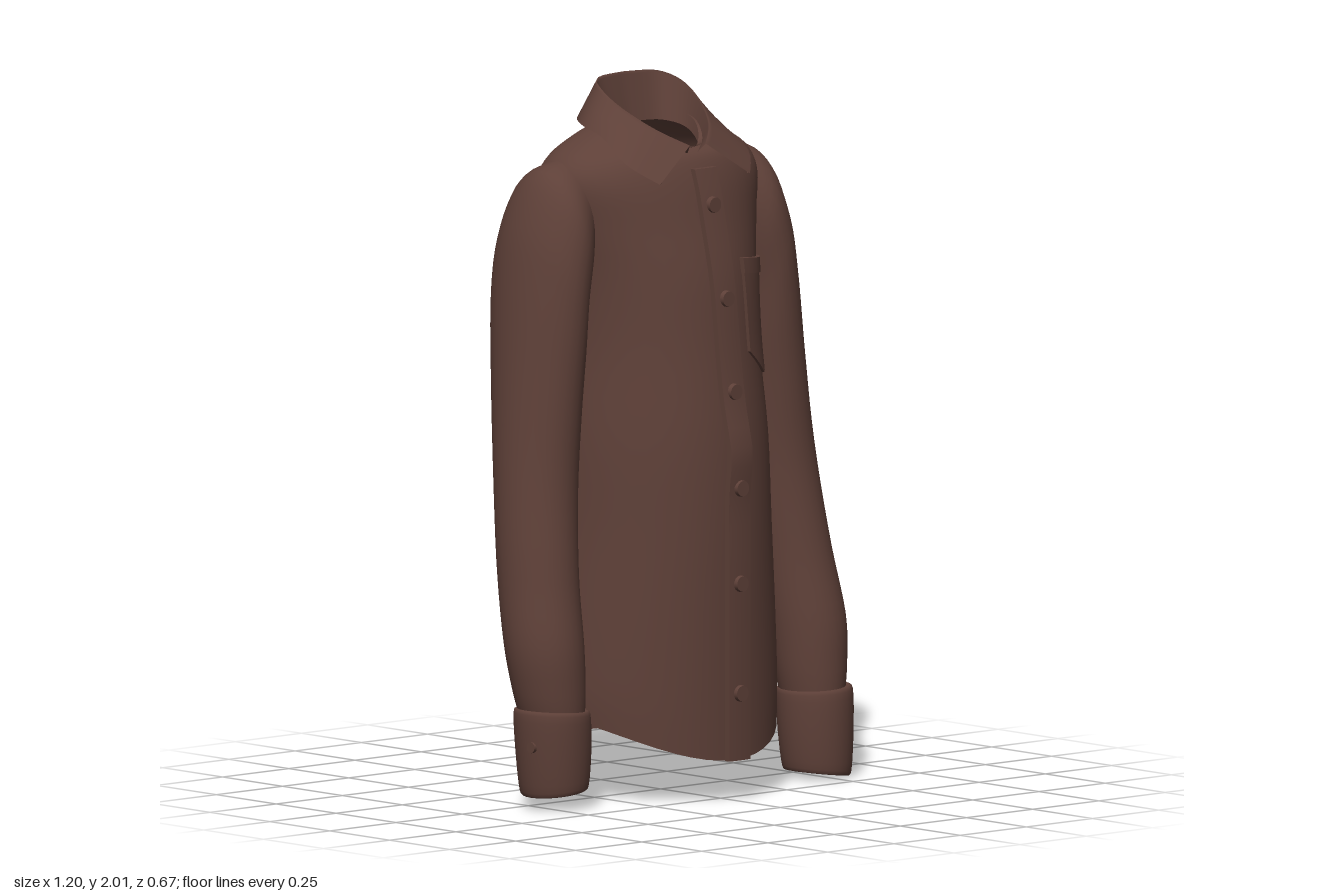
import * as THREE from 'three';

const fabric = new THREE.MeshStandardMaterial({ color: 0x5e4038, side: THREE.DoubleSide });
fabric.name = 'brown fabric';

// Smooth sample of a table of rows at t in 0..1
function sample(rows, t) {
  const n = rows.length - 1, f = Math.min(Math.max(t, 0), 1) * n;
  const i = Math.min(Math.floor(f), n - 1), u = f - i;
  const a = rows[Math.max(i - 1, 0)], b = rows[i], c = rows[i + 1], d = rows[Math.min(i + 2, n)];
  return b.map((_, k) => b[k] + 0.5 * u * (c[k] - a[k] + u * (2 * a[k] - 5 * b[k] + 4 * c[k] - d[k]
    + u * (3 * (b[k] - c[k]) + d[k] - a[k]))));
}

// Skin a list of cross-sections, each a list of [x, y, z]
function loft(name, sections, closed) {
  const m = sections[0].length, index = [];
  for (let i = 0; i < sections.length - 1; i++) {
    for (let j = 0; j < (closed ? m : m - 1); j++) {
      const k = (j + 1) % m, a = i * m + j, b = i * m + k, c = a + m, d = b + m;
      index.push(a, c, b, b, c, d);
    }
  }
  const g = new THREE.BufferGeometry();
  g.setAttribute('position', new THREE.Float32BufferAttribute(sections.flat(2), 3));
  g.setIndex(index);
  g.computeVertexNormals();
  return named(name, g);
}

function named(name, geometry) {
  const mesh = new THREE.Mesh(geometry, fabric);
  mesh.name = name;
  return mesh;
}

// Body rows: y, half width, front z, back z, front drop, back drop
const MID = -0.05;
const BODY = [
  [0.22, 0.36, 0.305, -0.265, 0.12, 0.09],
  [0.32, 0.365, 0.305, -0.285, 0.08, 0.04],
  [0.5, 0.355, 0.305, -0.305, 0.03, 0],
  [0.75, 0.335, 0.305, -0.325, 0, 0],
  [1.0, 0.325, 0.295, -0.335, 0, 0],
  [1.25, 0.305, 0.265, -0.335, 0, 0],
  [1.45, 0.31, 0.24, -0.33, 0, 0],
  [1.6, 0.335, 0.205, -0.305, 0, 0],
  [1.72, 0.355, 0.175, -0.26, 0, 0],
  [1.79, 0.32, 0.145, -0.225, 0, 0],
  [1.84, 0.24, 0.11, -0.19, 0.03, 0],
  [1.87, 0.17, 0.11, -0.16, 0.06, 0],
  [1.88, 0.13, 0.1, -0.135, 0.09, 0],
];

function body() {
  const rings = [];
  for (let i = 0; i <= 48; i++) {
    const [y, w, zf, zb, df, db] = sample(BODY, i / 48), ring = [];
    for (let j = 0; j < 48; j++) {
      const a = -j / 48 * Math.PI * 2, c = Math.cos(a), s = Math.sin(a);
      const p = s < 0 ? 0.78 : 1;
      const depth = Math.pow(Math.abs(s), p);
      const x = w * Math.sign(c) * Math.pow(Math.abs(c), p);
      const z = MID + depth * ((s < 0 ? zb : zf) - MID);
      ring.push([x, y - s * s * (s < 0 ? db : df), z]);
    }
    rings.push(ring);
  }
  return loft('body', rings, true);
}

// Depth of the front of the body at x, y
function frontZ(x, y) {
  let lo = 0, hi = 1;
  for (let i = 0; i < 24; i++) {
    const mid = (lo + hi) / 2, r = sample(BODY, mid);
    if (r[0] - r[4] < y) lo = mid; else hi = mid;
  }
  const r = sample(BODY, lo);
  return MID + (r[2] - MID) * Math.sqrt(Math.max(0, 1 - (x / r[1]) ** 2));
}

// Thin panel draped on the front; bounds(u) gives bottom and top y for u in 0..1
function panel(name, x0, x1, bounds, thick, lift = () => 0) {
  const g = new THREE.BoxGeometry(1, 1, thick, 10, 30, 1), p = g.attributes.position;
  for (let i = 0; i < p.count; i++) {
    const u = p.getX(i) + 0.5, v = p.getY(i) + 0.5, [b, t] = bounds(u);
    const x = x0 + (x1 - x0) * u, y = b + (t - b) * v;
    p.setXYZ(i, x, y, frontZ(x, y) + thick / 2 + p.getZ(i) + lift(y));
  }
  g.computeVertexNormals();
  return named(name, g);
}

// Sleeve rows: outer x, outer y, inner x, inner y, front z, back z
const SLEEVE = [
  [0.3, 1.79, 0.25, 1.55, 0.03, -0.18],
  [0.4, 1.755, 0.28, 1.44, 0.085, -0.225],
  [0.465, 1.62, 0.295, 1.34, 0.1, -0.24],
  [0.5, 1.45, 0.3, 1.22, 0.1, -0.235],
  [0.53, 1.2, 0.315, 1.05, 0.095, -0.2],
  [0.56, 0.92, 0.335, 0.85, 0.1, -0.155],
  [0.585, 0.65, 0.365, 0.62, 0.135, -0.11],
  [0.605, 0.44, 0.385, 0.43, 0.175, -0.06],
  [0.595, 0.3, 0.395, 0.3, 0.185, -0.03],
  [0.58, 0.22, 0.405, 0.22, 0.185, -0.01],
];
const CUFF = [
  [0.585, 0.245, 0.405, 0.235, 0.185, -0.01],
  [0.602, 0.235, 0.392, 0.225, 0.204, -0.02],
  [0.602, 0.12, 0.392, 0.12, 0.206, -0.012],
  [0.594, 0, 0.402, 0.02, 0.2, 0.002],
  [0.582, 0.002, 0.414, 0.022, 0.188, 0.014],
  [0.575, 0.12, 0.42, 0.12, 0.18, 0.02],
];

// The right arm hangs slightly closer and higher at the wrist
function place(side, x, y, z) {
  if (side > 0) return [x, y, z];
  const k = Math.max(0, 1 - y / 0.7);
  return [-(x - 0.03 * k), y + 0.035 * k, z - 0.028 * k];
}

function tube(name, rows, steps, side) {
  const rings = [];
  for (let i = 0; i <= steps; i++) {
    const [ox, oy, ix, iy, zf, zb] = sample(rows, i / steps), ring = [];
    for (let j = 0; j < 28; j++) {
      const a = side * j / 28 * Math.PI * 2, c = Math.cos(a) / 2, s = Math.sin(a) / 2;
      ring.push(place(side, (ox + ix) / 2 + (ox - ix) * c, (oy + iy) / 2 + (oy - iy) * c,
        (zf + zb) / 2 + (zf - zb) * s));
    }
    rings.push(ring);
  }
  return loft(name, rings, true);
}

// Collar half edges, from centre back to front
const STAND = [[0, 1.86, -0.13], [0.09, 1.86, -0.115], [0.125, 1.85, -0.06], [0.12, 1.83, 0], [0.08, 1.8, 0.07], [0.01, 1.78, 0.115]];
const FOLD = [[0, 2, -0.155], [0.11, 1.995, -0.14], [0.15, 1.97, -0.08], [0.145, 1.925, 0], [0.1, 1.87, 0.09], [0.03, 1.825, 0.155]];
const EDGE = [[0, 1.89, -0.205], [0.14, 1.885, -0.185], [0.21, 1.875, -0.1], [0.222, 1.85, 0], [0.23, 1.785, 0.11], [0.17, 1.73, 0.185]];

function collar() {
  const sections = [];
  for (let i = -20; i <= 20; i++) {
    const side = i < 0 ? -1 : 1, t = Math.abs(i) / 20;
    const [s, f, e] = [STAND, FOLD, EDGE].map(rows => sample(rows, t));
    const mix = (a, b, k) => a.map((v, n) => v + (b[n] - v) * k);
    const under = mix(e, s, 0.05);
    const line = [s, mix(s, f, 0.5), mix(s, f, 0.94), f, mix(f, e, 0.08), mix(f, e, 0.5), e, under];
    sections.push(line.map(([x, y, z]) => [x * side, y, z]));
  }
  return loft('collar', sections, false);
}

export function createModel() {
  const shirt = new THREE.Group();
  shirt.name = 'shirt';
  shirt.add(body(), collar());

  for (const side of [1, -1]) {
    const arm = new THREE.Group();
    arm.name = side > 0 ? 'leftSleeve' : 'rightSleeve';
    arm.add(tube('sleeve', SLEEVE, 40, side), tube('cuff', CUFF, 20, side));
    // Cuff button
    const button = named('cuffButton', new THREE.CylinderGeometry(0.016, 0.016, 0.012, 12).rotateZ(Math.PI / 2));
    button.position.set(...place(side, 0.598, 0.14, 0.12));
    arm.add(button);
    shirt.add(arm);
  }

  // Button placket, bulging a little at mid height
  const bulge = y => 0.018 * Math.exp(-(((y - 0.97) / 0.09) ** 2));
  shirt.add(panel('placket', -0.032, 0.05, () => [0.1, 1.76], 0.018, bulge));
  for (const y of [1.66, 1.4, 1.14, 0.87, 0.6, 0.29]) {
    const button = named('button', new THREE.CylinderGeometry(0.022, 0.024, 0.014, 14).rotateX(Math.PI / 2));
    button.position.set(0.008, y, frontZ(0, y) + 0.022 + bulge(y));
    shirt.add(button);
  }

  // Chest pocket with a pointed bottom and a hemmed top
  const top = u => 1.5 - 0.025 * u;
  const bottom = u => (u < 0.52 ? 1.24 - 0.075 * u / 0.52 : 1.165 + 0.04 * (u - 0.52) / 0.48);
  shirt.add(panel('pocket', 0.105, 0.3, u => [bottom(u), top(u)], 0.012));
  shirt.add(panel('pocketHem', 0.103, 0.302, u => [top(u) - 0.04, top(u) + 0.003], 0.017));
  return shirt;
}
